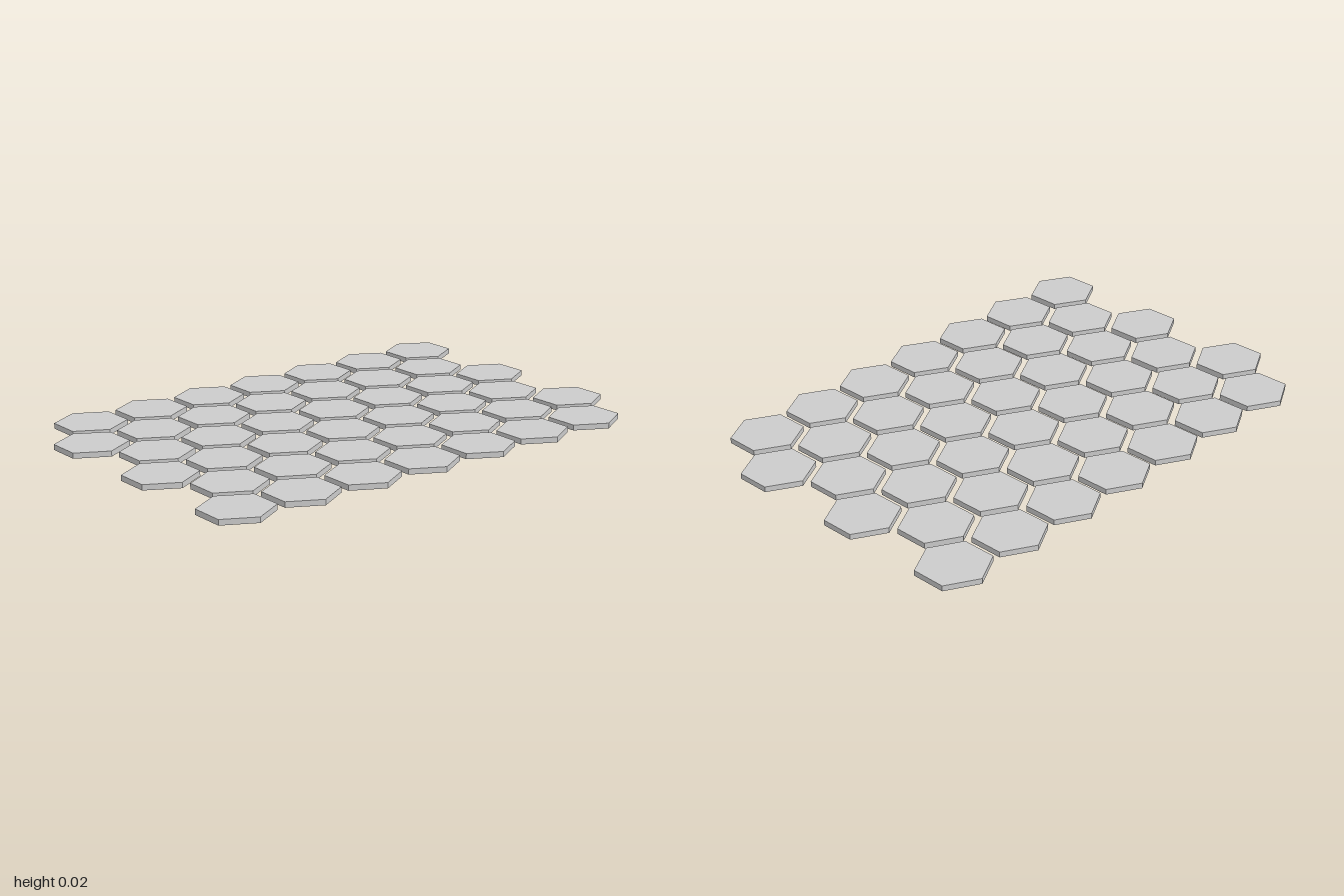
import * as THREE from 'three';

const COLUMNS = 6, ROWS = 7;
const RADIUS = 0.131, THICKNESS = 0.021;
const PITCH_X = 0.2212, PITCH_Z = 0.2707, DEPTH = 0.2403;

export function createModel() {
  const group = new THREE.Group();
  group.name = 'hexTileField';
  const material = new THREE.MeshStandardMaterial({ color: 0xcccccc, flatShading: true });

  // One hexagonal slab: corners point along x, slightly stretched along z
  const tile = new THREE.CylinderGeometry(RADIUS, RADIUS, THICKNESS, 6, 1, false, Math.PI / 2);
  tile.scale(1, 1, DEPTH / (Math.sqrt(3) * RADIUS));
  tile.translate(0, THICKNESS / 2, 0);
  tile.computeVertexNormals();

  // Columns of tiles, every second one shifted forward by half a pitch
  for (let c = 0; c < COLUMNS; c++) {
    const column = new THREE.Group();
    column.name = `tileColumn${c + 1}`;
    column.position.x = (c - (COLUMNS - 1) / 2) * PITCH_X;
    const shift = (c % 2 ? 0.25 : -0.25) * PITCH_Z;
    for (let r = 0; r < ROWS; r++) {
      const mesh = new THREE.Mesh(tile, material);
      mesh.name = `hexTile${r + 1}`;
      mesh.position.z = (r - (ROWS - 1) / 2) * PITCH_Z + shift;
      column.add(mesh);
    }
    group.add(column);
  }
  return group;
}
